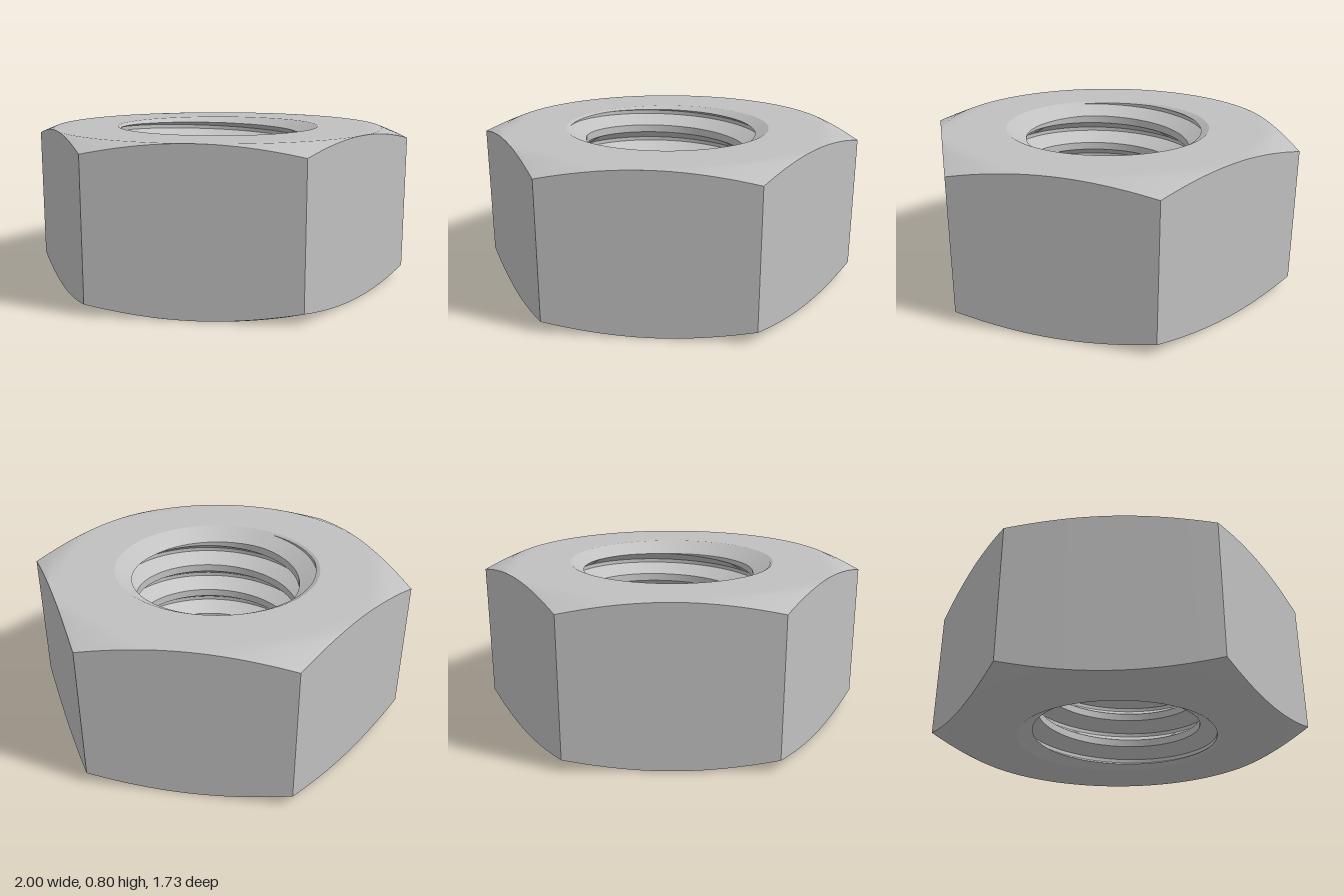
import * as THREE from 'three';

const H = 0.8;                 // height of the nut
const FLAT = Math.sqrt(3) / 2; // centre to flat side
const BEVEL = 0.41;            // slope of the corner chamfer
const RIM = 0.535;             // countersink radius at the faces
const MINOR = 0.433, MAJOR = 0.521, PITCH = 0.163;
const SLOPE = Math.tan(Math.PI / 6); // thread flank and countersink slope
const PHASE = 0.773 - PITCH / 2;     // height of the groove centre at angle 0
const N = 192;
const clamp = THREE.MathUtils.clamp;

// Skin between rings; each ring gives [radius, y] for an angle
function surface(rings, closed = true) {
  const pos = [], index = [], cols = closed ? N : N + 1;
  for (const ring of rings) {
    for (let i = 0; i < cols; i++) {
      const a = (i / N) * Math.PI * 2, [r, y] = ring(a);
      pos.push(r * Math.cos(a), y, -r * Math.sin(a));
    }
  }
  const point = (i) => new THREE.Vector3().fromArray(pos, i * 3);
  const addTriangle = (...t) => {
    const tri = new THREE.Triangle(...t.map(point));
    if (tri.getArea() > 1e-9) index.push(...t);
  };
  for (let k = 0; k < rings.length - 1; k++) {
    for (let i = 0; i < N; i++) {
      const a = k * cols + i, b = k * cols + ((i + 1) % cols);
      addTriangle(a, b, a + cols);
      addTriangle(b, b + cols, a + cols);
    }
  }
  const g = new THREE.BufferGeometry();
  g.setAttribute('position', new THREE.Float32BufferAttribute(pos, 3));
  g.setIndex(index);
  g.computeVertexNormals();
  return g;
}

// Hexagon outline with corners on the x axis
function hexRadius(a) {
  const s = Math.PI / 3;
  return FLAT / Math.cos((a % s) - s / 2);
}
const bevelDrop = (a) => Math.max(0, hexRadius(a) - FLAT) * BEVEL;

// Right-handed thread: hole radius at an angle and height
function threadRadius(a, y) {
  const u = (y - PHASE - (PITCH * a) / (Math.PI * 2)) / PITCH;
  const d = Math.abs(u - Math.round(u)) * PITCH;
  return clamp(MAJOR - (d - PITCH / 16) / SLOPE, MINOR, MAJOR);
}
const sinkRadius = (depth) => RIM - depth / SLOPE;

// Depth at which the countersink runs into the thread
function sinkDepth(a, top) {
  let d = 0;
  while (sinkRadius(d) > threadRadius(a, top ? H - d : d)) d += 0.0004;
  return d;
}

export function createModel() {
  const group = new THREE.Group();
  const steel = new THREE.MeshStandardMaterial({ color: 0xc0c0c0 });
  steel.name = 'steel grey';
  const add = (name, geometry, parent = group) => {
    const mesh = new THREE.Mesh(geometry, steel);
    mesh.name = name;
    parent.add(mesh);
  };

  // Top and bottom faces with the chamfered corners
  add('topFace', surface([
    (a) => [hexRadius(a), H - bevelDrop(a)],
    () => [FLAT, H], () => [0.8, H], () => [RIM, H],
  ]));
  add('bottomFace', surface([
    () => [RIM, 0], () => [0.8, 0], () => [FLAT, 0],
    (a) => [hexRadius(a), bevelDrop(a)],
  ]));

  // Six flat sides with arched edges
  const sides = surface([
    (a) => [hexRadius(a), bevelDrop(a)],
    (a) => [hexRadius(a), H - bevelDrop(a)],
  ]).toNonIndexed();
  sides.computeVertexNormals();
  add('hexSides', sides);

  // Countersinks at both ends of the hole
  const topSink = (a) => { const d = sinkDepth(a, true); return [sinkRadius(d), H - d]; };
  const bottomSink = (a) => { const d = sinkDepth(a, false); return [sinkRadius(d), d]; };
  add('topCountersink', surface([() => [RIM, H], topSink], false));
  add('bottomCountersink', surface([bottomSink, () => [RIM, 0]], false));

  // Helical thread, one strip per crest, flank and root, trimmed by the countersinks
  const thread = new THREE.Group();
  thread.name = 'thread';
  group.add(thread);
  const root = PITCH / 16, crest = root + (MAJOR - MINOR) * SLOPE;
  const profile = [[crest, MINOR], [root, MAJOR], [-root, MAJOR], [-crest, MINOR]];
  const rings = [];
  for (let turn = 2; turn >= -7; turn--) {
    for (const [offset, radius] of profile) {
      rings.push((a) => {
        const y = PHASE + PITCH * (turn + a / (Math.PI * 2)) + offset;
        const high = topSink(a), low = bottomSink(a);
        if (y > high[1]) return high;
        return y < low[1] ? low : [radius, y];
      });
    }
  }
  for (let k = 0; k < rings.length - 1; k++) {
    const strip = surface([rings[k], rings[k + 1]], false);
    if (strip.index.count) add('threadStrip', strip, thread);
  }
  return group;
}
